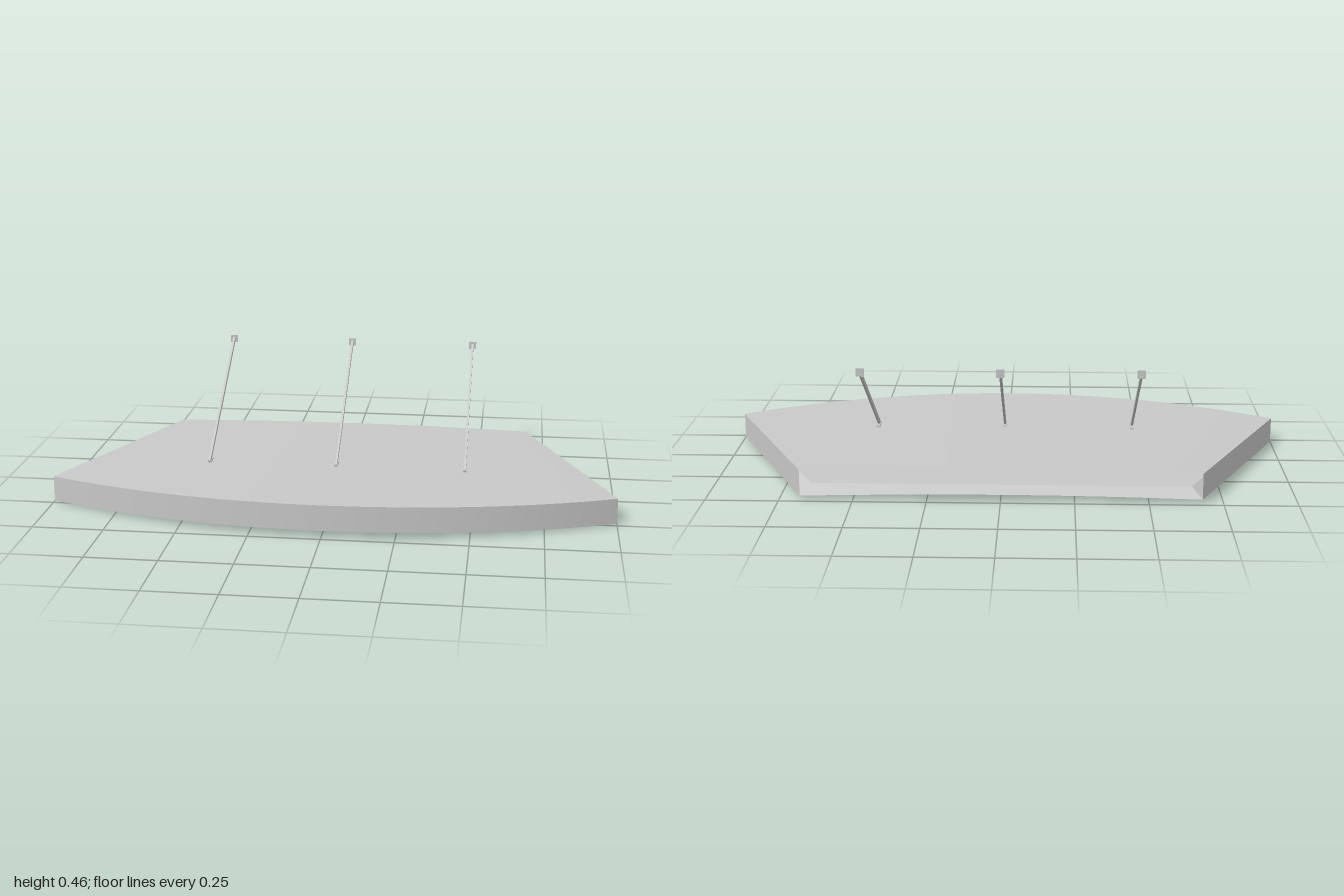
import * as THREE from 'three';

const BACK = -0.478, N = 32;
const DEPTH = 0.092;      // fascia height
const CEILING = 0.042;    // height of the flat soffit
const topY = (x) => 0.115 - 0.022 * x * x;
const botY = (x) => topY(x) - DEPTH;

// z of a circular arc through (+-half, zEdge) and (0, zMid)
function arcZ(x, half, zEdge, zMid) {
  const s = zMid - zEdge, r = (half * half + s * s) / (2 * s);
  return zMid - r + Math.sqrt(r * r - x * x);
}

// Points from right to left along an edge: x = half * u, y and z from functions of x
function edge(half, y, z) {
  const pts = [];
  for (let i = 0; i <= N; i++) {
    const x = half * (2 * i / N - 1);
    pts.push([x, y(x), z(x)]);
  }
  return pts;
}

// Surface between two lines of equal point count
function sheet(a, b) {
  const n = a.length, index = [];
  for (let i = 0; i < n - 1; i++) index.push(i, n + i, i + 1, i + 1, n + i, n + i + 1);
  const g = new THREE.BufferGeometry();
  g.setAttribute('position', new THREE.Float32BufferAttribute([...a, ...b].flat(), 3));
  g.setIndex(index);
  g.computeVertexNormals();
  return g;
}

export function createModel() {
  const model = new THREE.Group();
  model.name = 'canopy';
  const metal = new THREE.MeshStandardMaterial({ color: 0xc8c8c8, side: THREE.DoubleSide });
  metal.name = 'light grey metal';

  function add(name, geometry, parent = model) {
    const m = new THREE.Mesh(geometry, metal);
    m.name = name;
    parent.add(m);
    return m;
  }

  // Outlines: roof, fascia bottom and inset soffit
  const zFront = (x) => arcZ(x, 1, 0.23, 0.478);
  const zInner = (x) => arcZ(x, 0.935, 0.207, 0.428);
  const zBack = () => BACK, zInnerBack = () => BACK + 0.05, flat = () => CEILING;
  const roofBack = edge(0.68, topY, zBack), roofFront = edge(1, topY, zFront);
  const lowBack = edge(0.68, botY, zBack), lowFront = edge(1, botY, zFront);
  const inBack = edge(0.648, flat, zInnerBack), inFront = edge(0.935, flat, zInner);

  // Roof, curved front fascia and flat soffit; the back stays open
  add('roof', sheet(roofBack, roofFront));
  add('frontFascia', sheet(roofFront, lowFront));
  add('soffit', sheet(inFront, inBack));

  // Sloping border between fascia bottom and soffit
  add('frontBorder', sheet(lowFront, inFront));
  add('backBorder', sheet(inBack, lowBack));

  // Side fascias and side borders
  for (const [i, side] of [[0, 'right'], [N, 'left']]) {
    const flip = (a, b) => (i ? sheet(b, a) : sheet(a, b));
    add(side + 'Fascia', flip([roofBack[i], roofFront[i]], [lowBack[i], lowFront[i]]));
    add(side + 'Border', flip([lowBack[i], lowFront[i]], [inBack[i], inFront[i]]));
  }

  // Staggered round lamps under the soffit
  const lamps = new THREE.Group();
  lamps.name = 'lamps';
  model.add(lamps);
  const lampShape = new THREE.CylinderGeometry(0.011, 0.011, 0.022, 10);
  const STEP = 0.066;
  for (let row = 0; row < 13; row++) {
    const z = BACK + 0.085 + row * STEP;
    const half = 0.648 + 0.45 * (z - BACK - 0.05) - 0.035;
    for (let k = -14; k <= 14; k++) {
      const x = k * STEP;
      if ((k + row) % 2 !== 0 || Math.abs(x) > Math.min(half, 0.91)) continue;
      if (z > zInner(x) - 0.03) continue;
      add('lamp', lampShape, lamps).position.set(x, CEILING - 0.011, z);
    }
  }

  // Three hanger rods with roof brackets and wall plates
  const from = new THREE.Vector3(0, 0.112, 0.06), to = new THREE.Vector3(0, 0.445, BACK + 0.003);
  const length = from.distanceTo(to);
  for (const x of [-0.465, 0, 0.465]) {
    const hanger = new THREE.Group();
    hanger.name = 'hanger';
    hanger.position.x = x;
    model.add(hanger);
    const rod = add('rod', new THREE.BoxGeometry(0.008, 0.015, length), hanger);
    rod.position.addVectors(from, to).multiplyScalar(0.5);
    rod.rotation.x = Math.atan2(to.y - from.y, from.z - to.z);
    add('bracket', new THREE.BoxGeometry(0.012, 0.008, 0.05), hanger)
      .position.set(0, topY(x) + 0.002, 0.036);
    add('wallPlate', new THREE.BoxGeometry(0.028, 0.028, 0.004), hanger)
      .position.set(0, 0.445, BACK + 0.002);
  }
  return model;
}
